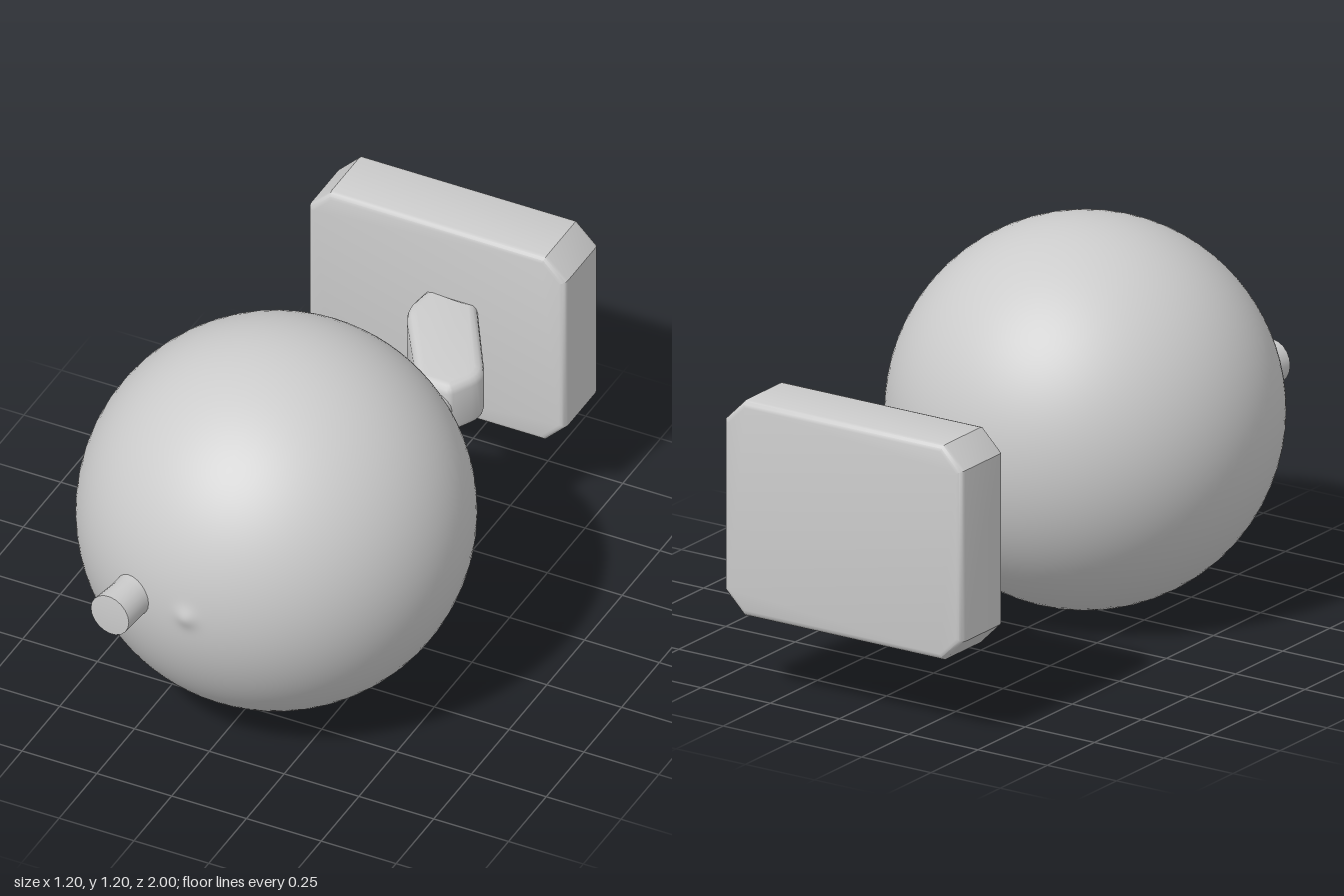
import * as THREE from 'three';
import { toCreasedNormals } from 'three/addons/utils/BufferGeometryUtils.js';

const material = new THREE.MeshStandardMaterial({ color: 0xcccccc });

function part(name, geometry) {
  const mesh = new THREE.Mesh(geometry, material);
  mesh.name = name;
  return mesh;
}

// Outline with every corner rounded; each entry is [x, y, corner radius]
function roundedOutline(corners) {
  const shape = new THREE.Shape();
  const n = corners.length;
  corners.forEach(([x, y, r], i) => {
    const p = new THREE.Vector2(x, y);
    const toward = ([a, b]) => new THREE.Vector2(a, b).sub(p).setLength(r).add(p);
    const a = toward(corners[(i + n - 1) % n]);
    const b = toward(corners[(i + 1) % n]);
    if (i === 0) shape.moveTo(a.x, a.y);
    else shape.lineTo(a.x, a.y);
    shape.quadraticCurveTo(x, y, b.x, b.y);
  });
  shape.closePath();
  return shape;
}

// Solid with a bevelled rim, running from 0 to depth along z
function bevelled(shape, depth, bevel) {
  const geometry = new THREE.ExtrudeGeometry(shape, {
    depth: depth - 2 * bevel, bevelThickness: bevel, bevelSize: bevel,
    bevelOffset: -bevel, bevelSegments: 3, curveSegments: 5,
  });
  return toCreasedNormals(geometry.translate(0, 0, bevel), 0.6);
}

// Turned part whose axis points along +z; profile entries are [radius, z]
function turned(profile, segments) {
  const points = profile.map(([r, z]) => new THREE.Vector2(r, z));
  return new THREE.LatheGeometry(points, segments).rotateX(Math.PI / 2);
}

export function createModel() {
  const group = new THREE.Group();

  // Ball, with a small raised nub at its front pole
  const profile = [];
  for (let i = 0; i <= 80; i++) {
    const t = Math.PI * (1 - Math.pow(i / 80 - 1, 2)); // denser toward the nub
    const fromPole = Math.PI - t;
    const r = 0.6 + 0.012 * Math.exp(-Math.pow(fromPole / 0.055, 2));
    profile.push([Math.max(0, r * Math.sin(t)), -r * Math.cos(t)]);
  }
  const ball = part('ball', turned(profile, 64));
  ball.position.set(0, 0.605, 0.305);
  group.add(ball);

  // Short nozzle, offset on the front and angled outward
  const nozzle = part('nozzle', toCreasedNormals(
    turned([[0.076, 0], [0.066, 0.06], [0.064, 0.1], [0.068, 0.194], [0, 0.2]], 20), 0.6));
  nozzle.position.set(-0.187, 0.603, 0.8);
  nozzle.rotation.y = -0.12;
  group.add(nozzle);

  // Waisted neck at the back of the ball
  const neck = part('neck', turned(
    [[0.062, -0.42], [0.06, -0.36], [0.06, -0.33], [0.067, -0.28], [0.076, -0.24], [0.08, -0.2]], 20));
  neck.position.set(0.182, 0.603, 0);
  group.add(neck);

  // Angled arm, drawn from above with its second coordinate pointing backward
  const arm = part('arm', bevelled(roundedOutline([
    [0.13, 0.37, 0.02], [0.24, 0.37, 0.02], [0.3, 0.485, 0.05],
    [0.12, 0.79, 0.01], [-0.05, 0.79, 0.01], [-0.065, 0.68, 0.05],
  ]), 0.175, 0.028).rotateX(-Math.PI / 2));
  arm.position.y = 0.515;
  group.add(arm);

  // Mounting plate with cut corners
  const [w, h, c] = [0.43, 0.34, 0.07];
  const outline = new THREE.Shape([
    [-w + c, -h], [w - c, -h], [w, -h + c], [w, h - c],
    [w - c, h], [-w + c, h], [-w, h - c], [-w, -h + c],
  ].map(([x, y]) => new THREE.Vector2(x, y)));
  const plate = part('mountingPlate', bevelled(outline, 0.225, 0.02));
  plate.position.set(-0.01, 0.6, -1);
  group.add(plate);

  return group;
}
